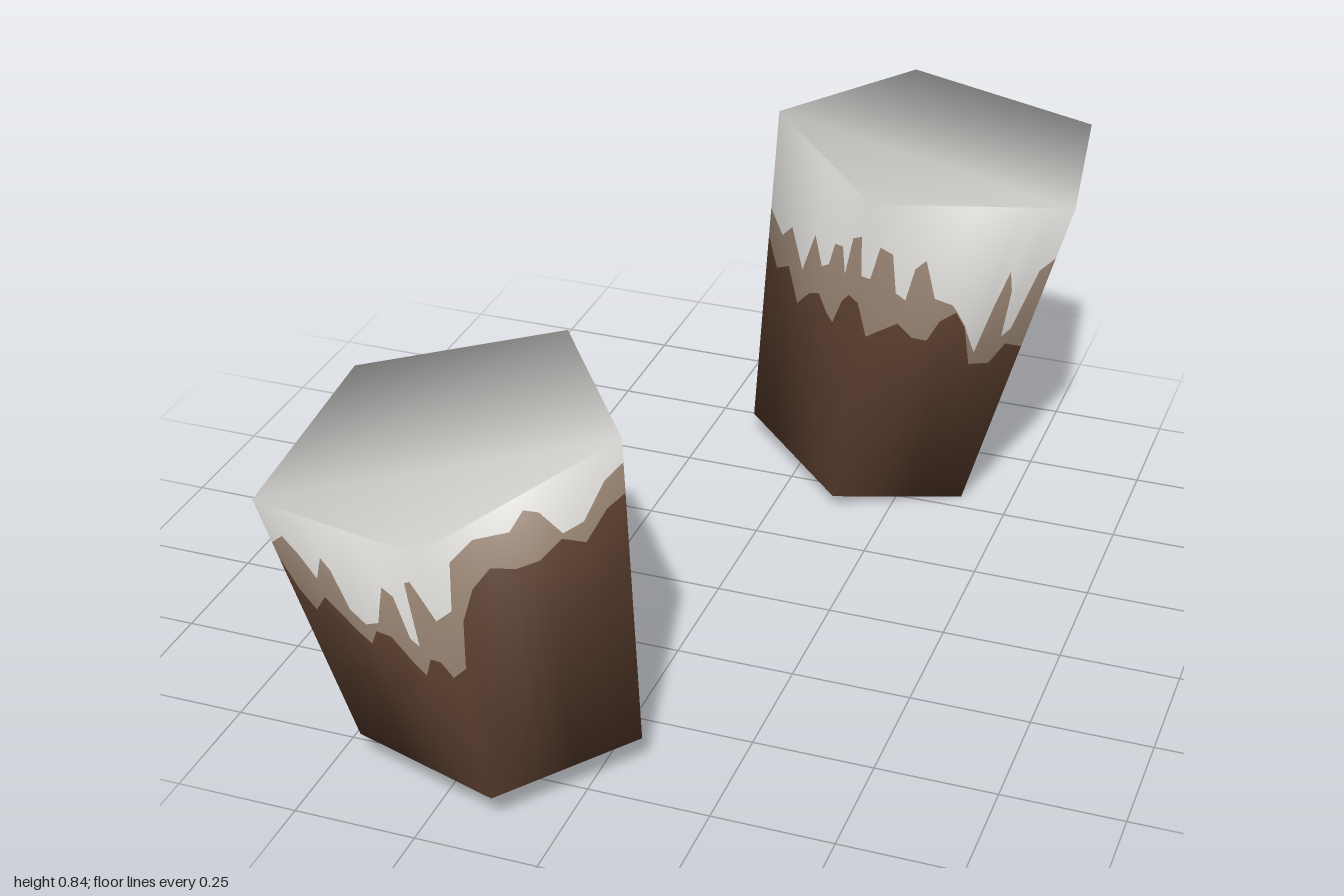
import * as THREE from 'three';

const { lerp } = THREE.MathUtils;

function material(name, color) {
  const m = new THREE.MeshStandardMaterial({ color });
  m.name = name;
  return m;
}

// Height of a drip line (flat list of position, height) at perimeter position u
function heightAt(line, u) {
  for (let i = 2; i < line.length; i += 2) {
    if (u <= line[i]) {
      return lerp(line[i - 1], line[i + 1], (u - line[i - 2]) / (line[i] - line[i - 2]));
    }
  }
  return line[line.length - 1];
}

// Shared-vertex prism that supplies smooth normals for all painted surfaces
function prismNormals(bottom, top) {
  const n = bottom.length, index = [];
  for (let i = 0; i < n; i++) {
    const j = (i + 1) % n;
    index.push(i, j, n + j, i, n + j, n + i);
    if (i > 0 && i < n - 1) index.push(n, n + i, n + i + 1, 0, i + 1, i);
  }
  const g = new THREE.BufferGeometry();
  g.setAttribute('position', new THREE.Float32BufferAttribute([...bottom, ...top].flat(), 3));
  g.setIndex(index);
  g.computeVertexNormals();
  const attr = g.attributes.normal;
  return [...bottom, ...top].map((_, i) => new THREE.Vector3().fromBufferAttribute(attr, i));
}

function makeMesh(name, points, normals, index, mat) {
  const g = new THREE.BufferGeometry();
  g.setAttribute('position', new THREE.Float32BufferAttribute(points.flatMap(p => p.toArray()), 3));
  g.setAttribute('normal', new THREE.Float32BufferAttribute(normals.flatMap(p => p.toArray()), 3));
  g.setIndex(index);
  const mesh = new THREE.Mesh(g, mat);
  mesh.name = name;
  return mesh;
}

// Tapered five-sided block with layered drip bands around its sides
function buildBlock(name, { bottom, top, lowLine, highLine }, mats) {
  const group = new THREE.Group();
  group.name = name;
  const n = bottom.length;
  const normals = prismNormals(bottom, top);
  const B = bottom.map(p => new THREE.Vector3(...p));
  const T = top.map(p => new THREE.Vector3(...p));

  // Columns at every bend of either drip line
  const stops = new Set([0]);
  for (const line of [lowLine, highLine]) {
    for (let i = 0; i < line.length; i += 2) stops.add(line[i]);
  }
  const columns = [...stops].sort((a, b) => a - b).map(u => {
    const f = Math.min(Math.floor(u), n - 1), j = (f + 1) % n, s = u - f;
    const lo = B[f].clone().lerp(B[j], s), hi = T[f].clone().lerp(T[j], s);
    const nLo = normals[f].clone().lerp(normals[j], s);
    const nHi = normals[n + f].clone().lerp(normals[n + j], s);
    const t = y => THREE.MathUtils.clamp((y - lo.y) / (hi.y - lo.y), 0, 1);
    const low = t(heightAt(lowLine, u));
    const high = Math.max(low + 0.005, t(heightAt(highLine, u)));
    return [0, low, high, 1].map(v => ({
      p: lo.clone().lerp(hi, v),
      n: nLo.clone().lerp(nHi, v).normalize(),
    }));
  });

  // Side bands from bottom to top
  ['lowerSides', 'dripBand', 'upperCoating'].forEach((part, k) => {
    const pts = [], nor = [], index = [];
    columns.forEach((c, i) => {
      pts.push(c[k].p, c[k + 1].p);
      nor.push(c[k].n, c[k + 1].n);
      if (i > 0) {
        const a = 2 * i - 2;
        index.push(a, a + 2, a + 3, a, a + 3, a + 1);
      }
    });
    group.add(makeMesh(part, pts, nor, index, mats[k]));
  });

  // Caps
  const fan = [], fanDown = [];
  for (let i = 1; i < n - 1; i++) {
    fan.push(0, i, i + 1);
    fanDown.push(0, i + 1, i);
  }
  group.add(makeMesh('topCap', T, normals.slice(n), fan, mats[2]));
  group.add(makeMesh('base', B, normals.slice(0, n), fanDown, mats[0]));
  return group;
}

// Corners run counter-clockwise seen from above, starting at the -x front side
const frontBlock = {
  bottom: [[-0.445, 0.07, 0.82], [-0.123, 0.07, 0.923], [0.075, 0.07, 0.65], [-0.123, 0.07, 0.377], [-0.445, 0.07, 0.48]],
  top: [[-0.62, 0.58, 0.845], [-0.21, 0.64, 1], [0.045, 0.735, 0.65], [-0.205, 0.74, 0.3], [-0.615, 0.645, 0.415]],
  lowLine: [
    0, 0.46, 0.05, 0.4, 0.12, 0.365, 0.23, 0.41, 0.39, 0.36, 0.46, 0.345, 0.53, 0.385, 0.63, 0.39, 0.73, 0.35, 0.8, 0.33, 0.87, 0.38, 0.94, 0.385,
    1, 0.36, 1.07, 0.37, 1.12, 0.47, 1.2, 0.53, 1.3, 0.56, 1.42, 0.54, 1.54, 0.54, 1.66, 0.57, 1.78, 0.545, 1.9, 0.6,
    2, 0.62, 2.12, 0.59, 2.28, 0.56, 2.42, 0.61, 2.55, 0.63, 2.68, 0.59, 2.8, 0.55, 2.87, 0.47,
    3, 0.39, 3.1, 0.33, 3.25, 0.31, 3.35, 0.29, 3.43, 0.31, 3.5, 0.42, 3.62, 0.47, 3.7, 0.5, 3.78, 0.46, 3.88, 0.41,
    4, 0.35, 4.1, 0.3, 4.2, 0.28, 4.4, 0.32, 4.6, 0.31, 4.8, 0.36, 5, 0.46,
  ],
  highLine: [
    0, 0.49, 0.1, 0.52, 0.17, 0.49, 0.23, 0.45, 0.32, 0.51, 0.36, 0.49, 0.39, 0.41, 0.47, 0.39, 0.57, 0.41, 0.69, 0.51, 0.75, 0.5, 0.77, 0.41, 0.82, 0.4, 0.86, 0.55, 0.9, 0.56,
    1, 0.49, 1.08, 0.5, 1.13, 0.6, 1.25, 0.63, 1.42, 0.62, 1.5, 0.655, 1.57, 0.64, 1.67, 0.58, 1.78, 0.59, 1.9, 0.66,
    2, 0.685, 2.1, 0.67, 2.16, 0.62, 2.28, 0.62, 2.42, 0.65, 2.6, 0.675, 2.73, 0.68, 2.82, 0.61, 2.88, 0.6, 2.94, 0.52,
    3, 0.48, 3.1, 0.41, 3.25, 0.42, 3.3, 0.5, 3.39, 0.51, 3.42, 0.42, 3.58, 0.47, 3.68, 0.51, 3.8, 0.48, 3.92, 0.45,
    4, 0.41, 4.12, 0.35, 4.25, 0.38, 4.5, 0.41, 4.7, 0.42, 4.9, 0.47, 5, 0.49,
  ],
};

const backBlock = {
  bottom: [[-0.145, 0.055, -0.655], [0.13, 0.03, -0.4], [0.39, 0, -0.545], [0.34, 0.012, -0.875], [0.01, 0.045, -0.94]],
  top: [[-0.085, 0.84, -0.635], [0.225, 0.81, -0.305], [0.615, 0.775, -0.5], [0.55, 0.78, -0.93], [0.122, 0.825, -1]],
  lowLine: [
    0, 0.53, 0.12, 0.47, 0.25, 0.5, 0.38, 0.43, 0.5, 0.48, 0.6, 0.5, 0.7, 0.47, 0.77, 0.46, 0.84, 0.53, 0.9, 0.56,
    1, 0.56, 1.07, 0.47, 1.24, 0.5, 1.34, 0.46, 1.43, 0.45, 1.48, 0.5, 1.56, 0.52, 1.63, 0.48, 1.72, 0.38, 1.84, 0.38, 1.9, 0.43,
    2, 0.42, 2.08, 0.53, 2.16, 0.62, 2.28, 0.66, 2.4, 0.61, 2.55, 0.6, 2.68, 0.64, 2.78, 0.63, 2.88, 0.59, 2.95, 0.62,
    3, 0.65, 3.12, 0.57, 3.25, 0.64, 3.36, 0.62, 3.47, 0.57, 3.6, 0.65, 3.75, 0.62, 3.85, 0.56,
    4, 0.5, 4.08, 0.48, 4.2, 0.41, 4.4, 0.38, 4.43, 0.51, 4.46, 0.64, 4.52, 0.71, 4.6, 0.69, 4.72, 0.62, 4.85, 0.58, 5, 0.53,
  ],
  highLine: [
    0, 0.6, 0.15, 0.56, 0.25, 0.6, 0.4, 0.52, 0.5, 0.63, 0.6, 0.57, 0.67, 0.59, 0.71, 0.65, 0.79, 0.66, 0.84, 0.6, 0.88, 0.7, 0.96, 0.72,
    1, 0.63, 1.05, 0.62, 1.08, 0.7, 1.15, 0.68, 1.2, 0.58, 1.26, 0.56, 1.28, 0.64, 1.33, 0.66, 1.42, 0.56, 1.53, 0.54, 1.66, 0.46, 1.73, 0.41, 1.76, 0.53, 1.79, 0.62, 1.83, 0.57, 1.86, 0.45, 1.9, 0.47, 1.94, 0.62,
    2, 0.65, 2.08, 0.69, 2.3, 0.71, 2.45, 0.725, 2.57, 0.65, 2.7, 0.69, 2.8, 0.71, 2.88, 0.65,
    3, 0.7, 3.12, 0.64, 3.25, 0.71, 3.47, 0.64, 3.6, 0.71, 3.8, 0.68, 3.9, 0.62,
    4, 0.56, 4.07, 0.52, 4.12, 0.6, 4.15, 0.74, 4.22, 0.75, 4.26, 0.6, 4.3, 0.55, 4.38, 0.6, 4.43, 0.75, 4.55, 0.78, 4.62, 0.73, 4.85, 0.71, 4.93, 0.64, 5, 0.6,
  ],
};

export function createModel() {
  const mats = [
    material('dark brown', 0x5c3f2f),
    material('tan', 0x978372),
    material('pale grey', 0xdcdbd8),
  ];
  const model = new THREE.Group();
  model.name = 'coatedBlocks';
  model.add(buildBlock('frontBlock', frontBlock, mats), buildBlock('backBlock', backBlock, mats));
  return model;
}
